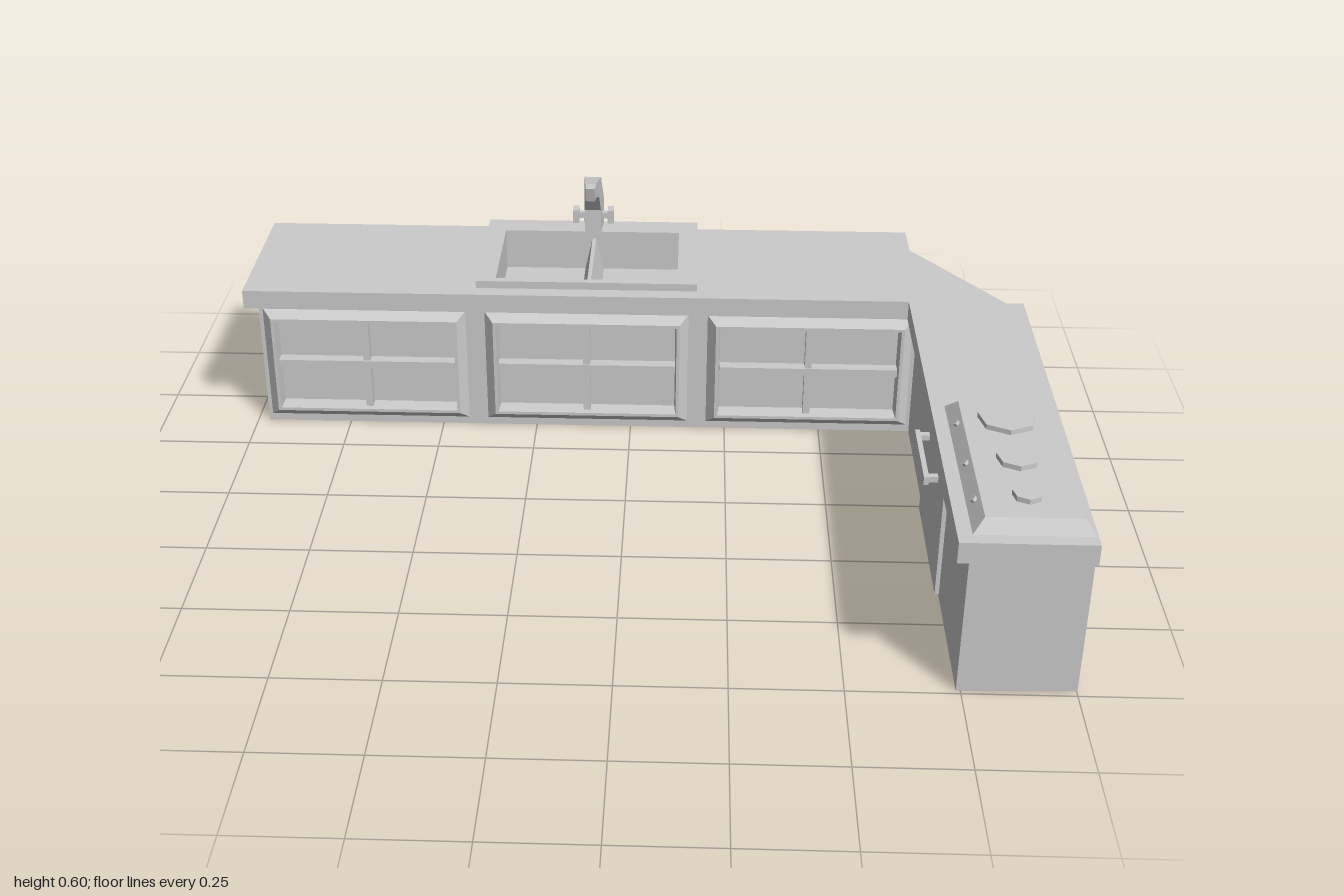
import * as THREE from 'three';

const mat = new THREE.MeshStandardMaterial({ color: 0xcccccc, flatShading: true, side: THREE.DoubleSide });

// Flat-shaded surface from a list of four-cornered faces
function quadGeometry(quads) {
  const pos = [];
  for (const [a, b, c, d] of quads) pos.push(...a, ...b, ...c, ...a, ...c, ...d);
  const g = new THREE.BufferGeometry();
  g.setAttribute('position', new THREE.Float32BufferAttribute(pos, 3));
  g.computeVertexNormals();
  return g;
}

// Loft through rectangles [x0, x1, y0, y1, z], optionally closing the last one
function rectLoft(rings, cap) {
  const loops = rings.map(([x0, x1, y0, y1, z]) => [[x0, y0, z], [x1, y0, z], [x1, y1, z], [x0, y1, z]]);
  const quads = [];
  for (let r = 0; r + 1 < loops.length; r++) {
    for (let i = 0; i < 4; i++) {
      const j = (i + 1) % 4;
      quads.push([loops[r][i], loops[r][j], loops[r + 1][j], loops[r + 1][i]]);
    }
  }
  if (cap) quads.push(loops[loops.length - 1]);
  return quadGeometry(quads);
}

const rectPoints = (x0, x1, y0, y1) =>
  [[x0, y0], [x1, y0], [x1, y1], [x0, y1]].map(([x, y]) => new THREE.Vector2(x, y));

export function createModel() {
  const model = new THREE.Group();
  const add = (name, geometry, parent = model) => {
    const m = new THREE.Mesh(geometry, mat);
    m.name = name;
    parent.add(m);
    return m;
  };
  const box = (name, x0, x1, y0, y1, z0, z1, parent) => {
    const m = add(name, new THREE.BoxGeometry(x1 - x0, y1 - y0, z1 - z0), parent);
    m.position.set((x0 + x1) / 2, (y0 + y1) / 2, (z0 + z1) / 2);
    return m;
  };
  const panel = (name, a, b, c, d) => add(name, quadGeometry([[a, b, c, d]]));

  // Long back counter, cut out for the sink
  const top = new THREE.Shape(rectPoints(-1, 0.74, 0.34, 0.77));
  top.holes.push(new THREE.Path(rectPoints(-0.35, 0.12, 0.4, 0.7)));
  const topGeo = new THREE.ExtrudeGeometry(top, { depth: 0.05, bevelEnabled: false });
  topGeo.rotateX(-Math.PI / 2).translate(0, 0.35, 0);
  add('backCountertop', topGeo);

  // Back cabinet: front plate with three openings, and the end panel
  const faceZ = -0.375;
  const windows = [-0.695, -0.115, 0.465];
  const plate = new THREE.Shape(rectPoints(-0.97, 0.74, 0, 0.35));
  for (const cx of windows) plate.holes.push(new THREE.Path(rectPoints(cx - 0.26, cx + 0.26, 0.025, 0.33)));
  add('cabinetFront', new THREE.ShapeGeometry(plate)).position.z = faceZ;
  panel('cabinetEnd', [-0.97, 0, -0.77], [-0.97, 0, faceZ], [-0.97, 0.35, faceZ], [-0.97, 0.35, -0.77]);

  // Bevelled door frames with recessed panes and crossed bars
  for (const cx of windows) {
    const door = new THREE.Group();
    door.name = 'cabinetDoor';
    model.add(door);
    const ring = (inset, z) => [cx - 0.265 + inset, cx + 0.265 - inset, 0.02 + inset, 0.335 - inset, z];
    add('doorFrame', rectLoft([ring(0, faceZ), ring(0.022, -0.353), ring(0.03, -0.353), ring(0.034, -0.395)], true), door);
    box('uprightBar', cx - 0.009, cx + 0.009, 0.05, 0.3, -0.394, -0.368, door);
    box('crossBar', cx - 0.232, cx + 0.232, 0.168, 0.188, -0.394, -0.364, door);
  }

  // Sink: raised rim, basin walls, and a floor folded up into a divider
  const sink = new THREE.Group();
  sink.name = 'sink';
  model.add(sink);
  const rim = rectLoft([
    [-0.4, 0.17, 0.38, 0.77, 0.4], [-0.4, 0.17, 0.38, 0.77, 0.42],
    [-0.35, 0.12, 0.4, 0.7, 0.42], [-0.35, 0.12, 0.4, 0.7, 0.31],
  ], false);
  add('sinkRim', rim.rotateX(-Math.PI / 2), sink);
  const fold = [[-0.35, 0.31], [-0.135, 0.31], [-0.115, 0.4], [-0.105, 0.4], [-0.085, 0.31], [0.12, 0.31]];
  add('sinkFloor', quadGeometry(fold.slice(1).map(([x, y], i) => {
    const [px, py] = fold[i];
    return [[px, py, -0.4], [x, y, -0.4], [x, y, -0.7], [px, py, -0.7]];
  })), sink);

  // Tap: arched side profile in (z, y), tapering towards the spout
  const tap = new THREE.Group();
  tap.name = 'tap';
  tap.position.x = -0.113;
  model.add(tap);
  const profile = [
    [-0.768, 0.42], [-0.768, 0.488], [-0.705, 0.578], [-0.6, 0.602], [-0.565, 0.602],
    [-0.575, 0.563], [-0.6, 0.563], [-0.66, 0.54], [-0.697, 0.485], [-0.697, 0.42],
  ];
  const spout = new THREE.ExtrudeGeometry(
    new THREE.Shape(profile.map(([z, y]) => new THREE.Vector2(-z, y))), { depth: 2, bevelEnabled: false });
  spout.translate(0, 0, -1).rotateY(Math.PI / 2);
  const p = spout.attributes.position;
  for (let i = 0; i < p.count; i++) {
    const t = THREE.MathUtils.clamp((p.getZ(i) + 0.77) / 0.2, 0, 1);
    p.setX(i, p.getX(i) * (0.027 - 0.015 * t));
  }
  spout.computeVertexNormals();
  add('spout', spout, tap);
  for (const s of [-1, 1]) {
    const stem = add('tapStem', new THREE.BoxGeometry(0.03, 0.016, 0.016), tap);
    stem.position.set(s * 0.03, 0.457, -0.732);
    const knob = add('tapKnob', new THREE.BoxGeometry(0.016, 0.036, 0.036), tap);
    knob.position.set(s * 0.047, 0.457, -0.732);
  }

  // Corner: lower top and a diagonal back wall
  const low = 0.355;
  panel('cornerTop', [0.74, low, -0.34], [1, low + 0.005, -0.34], [1, low + 0.005, -0.38], [0.74, low, -0.77]);
  panel('cornerWall', [1, 0.01, -0.38], [0.74, 0, -0.77], [0.74, low, -0.77], [1, low + 0.005, -0.38]);

  // Side counter with its open-bottomed cabinet
  box('sideCountertop', 0.71, 1, 0.35, 0.4, -0.34, 0.77);
  panel('sideBack', [1, 0.006, 0.74], [1, 0.01, -0.38], [1, 0.355, -0.38], [1, 0.355, 0.74]);
  panel('sideEnd', [0.74, 0, 0.74], [1, 0.006, 0.74], [1, 0.35, 0.74], [0.74, 0.35, 0.74]);
  panel('sideFront', [0.74, 0, -0.375], [0.74, 0, 0.74], [0.74, 0.35, 0.74], [0.74, 0.35, -0.375]);

  // Oven door with its bar handle
  box('ovenDoor', 0.73, 0.742, 0.008, 0.335, 0.02, 0.39);
  box('ovenHandle', 0.696, 0.708, 0.245, 0.265, 0.075, 0.295);
  for (const z of [0.09, 0.28]) box('handlePost', 0.7, 0.732, 0.248, 0.262, z - 0.008, z + 0.008);

  // Cooktop with three seven-sided burners and small controls
  const cooktop = new THREE.Group();
  cooktop.name = 'cooktop';
  model.add(cooktop);
  const hob = rectLoft([[0.742, 0.997, -0.738, -0.2, 0.4], [0.768, 0.975, -0.713, -0.225, 0.428]], true);
  add('hob', hob.rotateX(-Math.PI / 2), cooktop);
  for (const [z, r] of [[0.31, 0.066], [0.483, 0.047], [0.63, 0.033]]) {
    add('burner', new THREE.CylinderGeometry(r, r, 0.012, 7), cooktop).position.set(0.867, 0.434, z);
    const control = add('control', new THREE.CylinderGeometry(0.008, 0.008, 0.012, 6), cooktop);
    control.position.set(0.756, 0.417, z);
    control.rotation.z = Math.PI / 4;
  }
  return model;
}
